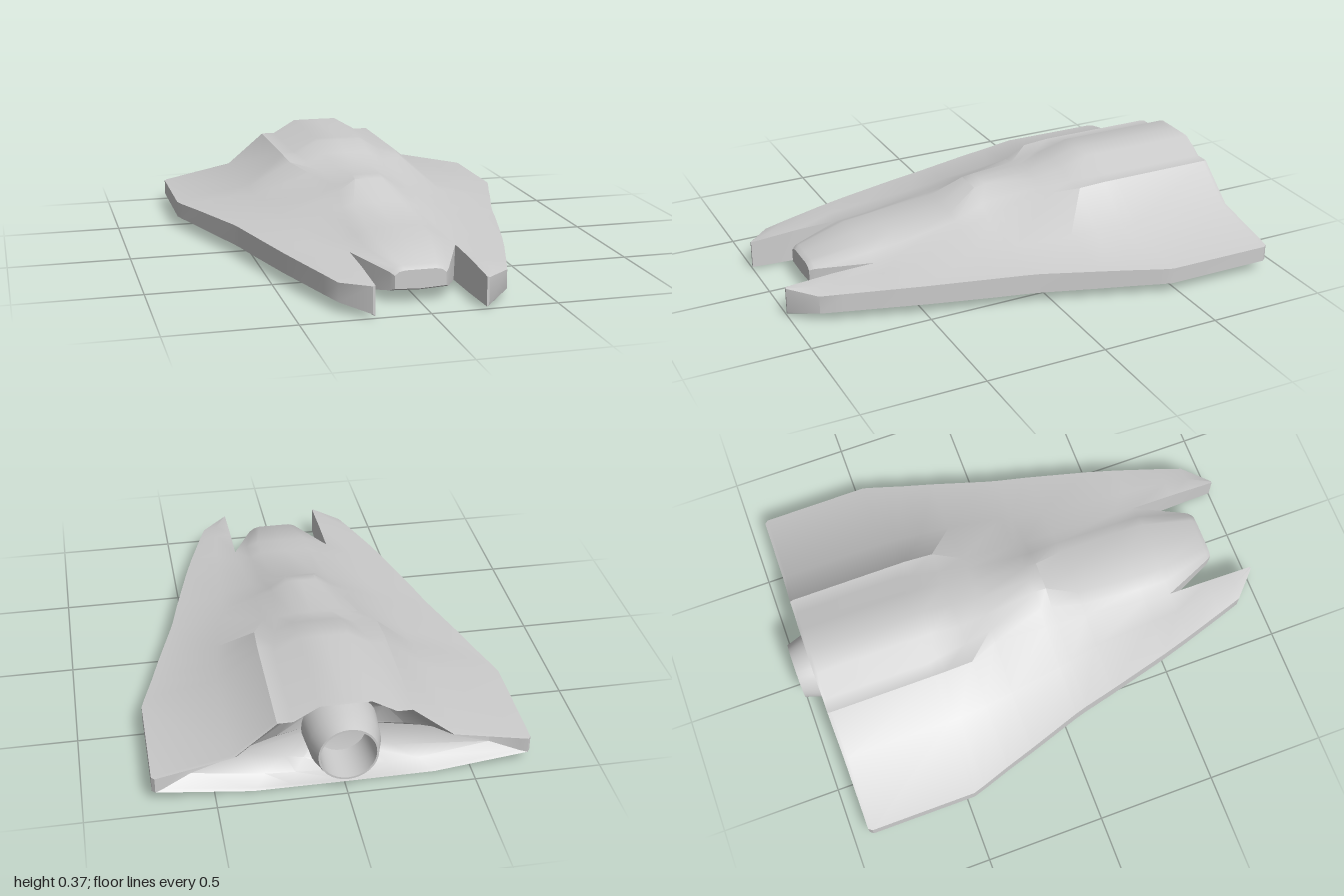
import * as THREE from 'three';
import { mergeGeometries, toCreasedNormals } from 'three/addons/utils/BufferGeometryUtils.js';

const material = new THREE.MeshStandardMaterial({ color: 0xcccccc, side: THREE.DoubleSide });
const NOZZLE_Y = 0.185;

// Skin closed rings of [x, y, z]; rings run from back to front, clockwise seen from the front.
function loft(rings, capFront = false) {
  const n = rings[0].length;
  const index = [];
  for (let r = 0; r < rings.length - 1; r++) {
    for (let i = 0; i < n; i++) {
      const j = (i + 1) % n;
      const a = r * n + i, b = r * n + j;
      index.push(a, a + n, b + n, a, b + n, b);
    }
  }
  if (capFront) {
    const s = (rings.length - 1) * n;
    for (let i = 1; i < n - 1; i++) index.push(s, s + i + 1, s + i);
  }
  const g = new THREE.BufferGeometry();
  g.setAttribute('position', new THREE.Float32BufferAttribute(rings.flat(2), 3));
  g.setIndex(index);
  return g.toNonIndexed();
}

// Half outline (top centre round to bottom centre) to full ring at z.
function mirrorRing(half, z) {
  const left = half.map(([x, y]) => [x, y, z]);
  const right = half.slice(1, -1).reverse().map(([x, y]) => [-x, y, z]);
  return [...left, ...right];
}

// Half section: roof edge, valley, shoulder, foot, wing edge, then the belly.
function hullHalf([, a, b, c, d, e, flat]) {
  return [[0, a[1]], a, b, c, d, e, [e[0], 0.045], [flat, 0], [0.21, 0], [0, 0]];
}

// z, roof edge, valley, shoulder, foot, wing edge, belly flat half width
const stations = [
  [-0.915, [0.10, 0.37], [0.20, 0.312], [0.26, 0.312], [0.43, 0.172], [0.737, 0.11], 0.36],
  [-0.47, [0.10, 0.37], [0.20, 0.312], [0.26, 0.312], [0.43, 0.172], [0.737, 0.112], 0.36],
  [-0.42, [0.10, 0.37], [0.19, 0.312], [0.26, 0.312], [0.425, 0.172], [0.722, 0.113], 0.355],
  [-0.30, [0.10, 0.335], [0.17, 0.30], [0.255, 0.305], [0.415, 0.17], [0.682, 0.118], 0.34],
  [-0.18, [0.08, 0.30], [0.145, 0.288], [0.20, 0.282], [0.40, 0.17], [0.645, 0.123], 0.33],
  [0.05, [0.06, 0.315], [0.13, 0.27], [0.20, 0.24], [0.365, 0.165], [0.57, 0.13], 0.30],
  [0.10, [0.06, 0.308], [0.13, 0.26], [0.20, 0.23], [0.355, 0.163], [0.556, 0.13], 0.295],
  [0.23, [0.10, 0.235], [0.15, 0.22], [0.20, 0.205], [0.33, 0.16], [0.525, 0.13], 0.285],
  [0.50, [0.11, 0.203], [0.16, 0.18], [0.21, 0.16], [0.31, 0.148], [0.455, 0.127], 0.26],
  [0.62, [0.11, 0.19], [0.16, 0.168], [0.215, 0.145], [0.30, 0.141], [0.42, 0.125], 0.25],
];

// Rear bowl: the outline drawn in towards the round engine mount
function bowlRing(half, t, z) {
  const ring = mirrorRing(half, z);
  return ring.map(([x, y]) => {
    const dy = y - NOZZLE_Y, k = 0.13 / Math.hypot(x, dy);
    const s = 1 + (k - 1) * t;
    return [x * s, NOZZLE_Y + dy * s, z];
  });
}

function buildBody() {
  const rear = hullHalf(stations[0]);
  const hull = loft([
    bowlRing(rear, 1, -0.80),
    bowlRing(rear, 0.6, -0.83),
    bowlRing(rear, 0.25, -0.87),
    bowlRing(rear, 0.07, -0.92),
    bowlRing(rear, 0.02, -0.93),
    ...stations.map((s) => mirrorRing(hullHalf(s), s[0])),
  ]);

  // Tapered nose between the prongs
  const [, a, b, c] = stations[stations.length - 1];
  const nose = loft([
    mirrorRing([[0, a[1]], a, b, c, [0.21, 0], [0, 0]], 0.62),
    mirrorRing([[0, 0.145], [0.07, 0.145], [0.095, 0.138], [0.117, 0.122], [0.117, 0.05], [0, 0.045]], 0.84),
    mirrorRing([[0, 0.13], [0.06, 0.13], [0.085, 0.125], [0.102, 0.112], [0.102, 0.06], [0, 0.055]], 0.86),
  ], true);

  // Forward prongs: z, inner top, mid top, outer top, outer bottom, belly, inner bottom
  const prongStations = [
    [0.62, [0.215, 0.145], [0.30, 0.141], [0.42, 0.125], [0.42, 0.045], [0.25, 0], [0.21, 0]],
    [0.80, [0.215, 0.14], [0.28, 0.136], [0.363, 0.12], [0.363, 0.042], [0.24, 0.002], [0.213, 0.002]],
    [0.90, [0.215, 0.133], [0.27, 0.129], [0.33, 0.116], [0.33, 0.04], [0.235, 0.005], [0.215, 0.005]],
    [1.00, [0.215, 0.126], [0.219, 0.126], [0.224, 0.123], [0.224, 0.016], [0.219, 0.01], [0.215, 0.01]],
  ];
  const prongs = [1, -1].map((side) => loft(prongStations.map(([z, ...pts]) => {
    const ring = pts.map(([x, y]) => [side * x, y, z]);
    return side > 0 ? ring : ring.reverse();
  }), true));

  return toCreasedNormals(mergeGeometries([hull, nose, ...prongs]), 0.65);
}

export function createModel() {
  const model = new THREE.Group();
  model.name = 'spacecraft';

  const body = new THREE.Mesh(buildBody(), material);
  body.name = 'hull';
  model.add(body);

  // Hollow engine nozzle, opening to the rear
  const profile = [[0.15, 0.78], [0.138, 0.93], [0.116, 1.0], [0.108, 1.0], [0.1, 0.84], [0, 0.82]];
  const nozzleGeometry = new THREE.LatheGeometry(profile.map(([r, d]) => new THREE.Vector2(r, d)), 32);
  nozzleGeometry.rotateX(-Math.PI / 2);
  const nozzle = new THREE.Mesh(toCreasedNormals(nozzleGeometry, 0.6), material);
  nozzle.name = 'engineNozzle';
  nozzle.position.y = NOZZLE_Y;
  model.add(nozzle);

  return model;
}
